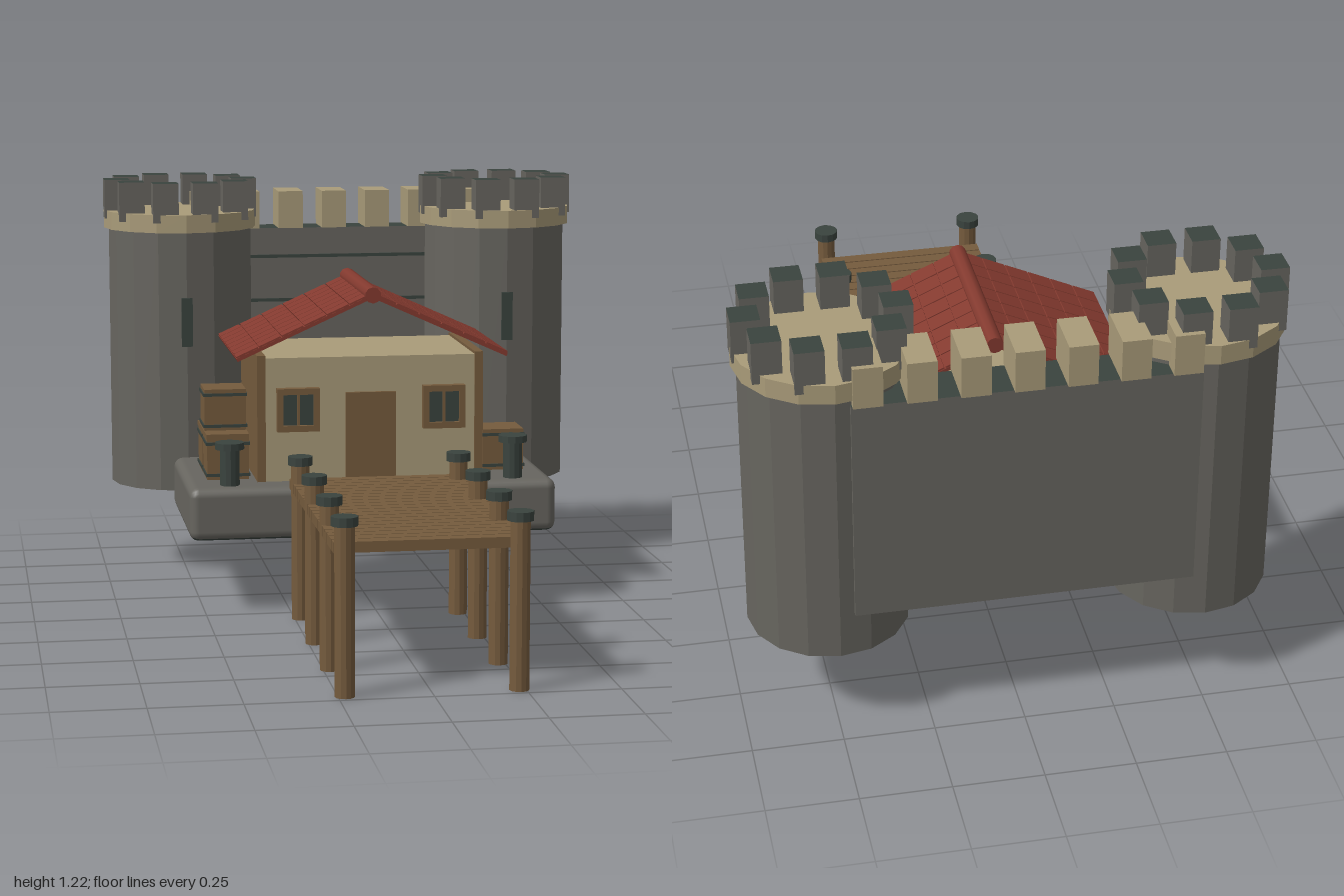
import * as THREE from 'three';
import { RoundedBoxGeometry } from 'three/addons/geometries/RoundedBoxGeometry.js';

function mat(name, color) {
  const m = new THREE.MeshStandardMaterial({ color });
  m.name = name;
  return m;
}

export function createModel() {
  const stone = mat('grey stone', 0x67655f);
  const sand = mat('sand stone', 0xa99b79);
  const wood = mat('brown wood', 0x755b3d);
  const tile = mat('red roof tile', 0x843a2f);
  const dark = mat('dark iron', 0x3a433e);
  const root = new THREE.Group();
  root.name = 'harbourCastle';

  const add = (name, geo, material, x, y, z, parent = root) => {
    const m = new THREE.Mesh(geo, material);
    m.name = name;
    m.position.set(x, y, z);
    parent.add(m);
    return m;
  };
  // Box given by its lower and upper limits
  const box = (name, material, x0, x1, y0, y1, z0, z1, parent = root) =>
    add(name, new THREE.BoxGeometry(x1 - x0, y1 - y0, z1 - z0), material,
      (x0 + x1) / 2, (y0 + y1) / 2, (z0 + z1) / 2, parent);
  // Upright faceted cylinder given by its lower and upper end
  const drum = (name, material, r, y0, y1, x, z, sides, parent = root) => {
    const g = new THREE.CylinderGeometry(r, r, y1 - y0, sides).toNonIndexed();
    g.computeVertexNormals();
    return add(name, g, material, x, (y0 + y1) / 2, z, parent);
  };
  const group = (name, parent = root) => {
    const g = new THREE.Group();
    g.name = name;
    parent.add(g);
    return g;
  };
  const cappedBox = [stone, stone, dark, dark, stone, stone];

  // Towers with collar, ring of merlons and arrow slit
  for (const s of [-1, 1]) {
    const tower = group(s > 0 ? 'leftTower' : 'rightTower');
    const cx = s * 0.5, cz = -0.763;
    drum('towerShaft', [stone, stone, dark], 0.222, 0.27, 1.075, cx, cz, 16, tower);
    drum('towerCollar', sand, 0.237, 1.07, 1.125, cx, cz, 16, tower);
    for (let i = 0; i < 10; i++) {
      const a = i * Math.PI / 5;
      const x = cx + 0.197 * Math.cos(a), z = cz + 0.192 * Math.sin(a);
      box('towerMerlon', cappedBox, x - 0.039, x + 0.039, 1.10, 1.22, z - 0.039, z + 0.039, tower);
    }
    box('arrowSlit', dark, cx - 0.017, cx + 0.017, 0.72, 0.87, cz + 0.215, cz + 0.229, tower);
  }

  // Curtain wall with course lines and merlons
  const wall = group('curtainWall');
  box('wallSlab', cappedBox, -0.46, 0.46, 0.40, 1.05, -0.99, -0.865, wall);
  for (const y of [0.54, 0.68, 0.82, 0.96])
    box('wallCourse', dark, -0.45, 0.45, y - 0.005, y + 0.005, -0.866, -0.859, wall);
  for (let i = -3; i <= 3; i++)
    box('wallMerlon', sand, i * 0.139 - 0.039, i * 0.139 + 0.039, 1.05, 1.167, -1, -0.855, wall);

  // Stone platform
  add('platform', new RoundedBoxGeometry(1.09, 0.158, 0.56, 2, 0.028),
    [stone, stone, stone, dark, stone, stone], 0, 0.296, -0.285);

  // House body, side walls, door and windows
  const house = group('house');
  box('houseBody', sand, -0.312, 0.312, 0.37, 0.742, -0.515, -0.095, house);
  for (const s of [-1, 1]) {
    const side = box('sideWall', wood, -0.0125, 0.0125, 0.37, 0.75, -0.52, -0.09, house);
    side.position.x = s * 0.3245;
    const win = group('window', house);
    win.position.set(s * 0.217, 0.59, -0.08);
    box('windowPane', dark, -0.05, 0.05, -0.052, 0.052, -0.015, 0.002, win);
    for (const t of [-1, 1]) {
      add('frameRail', new THREE.BoxGeometry(0.126, 0.018, 0.028), wood, 0, t * 0.055, 0, win);
      add('frameStile', new THREE.BoxGeometry(0.018, 0.1, 0.028), wood, t * 0.054, 0, 0, win);
    }
    add('mullion', new THREE.BoxGeometry(0.008, 0.1, 0.02), wood, 0, 0, 0, win);
  }
  box('door', wood, -0.075, 0.075, 0.375, 0.637, -0.1, -0.083, house);

  // Open-gabled roof: two sloping slabs laid with tiles, and a ridge pole
  const roof = group('roof');
  const run = 0.40, drop = 0.18, len = Math.hypot(run, drop);
  for (const s of [-1, 1]) {
    const slope = group('roofSlope', roof);
    slope.position.set(s * run / 2, 0.835, -0.305);
    slope.rotation.z = -s * Math.atan2(drop, run);
    add('roofSlab', new THREE.BoxGeometry(len, 0.01, 0.52), tile, 0, 0, 0, slope);
    const cols = 6, rows = 8, w = len / cols, d = 0.52 / rows;
    for (let i = 0; i < cols; i++)
      for (let j = 0; j < rows; j++)
        add('roofTile', new THREE.BoxGeometry(w - 0.004, 0.006, d - 0.004), tile,
          (i + 0.5) * w - len / 2, 0.007, (j + 0.5) * d - 0.26, slope);
  }
  add('ridgePole', new THREE.CylinderGeometry(0.024, 0.024, 0.524, 10), tile, 0, 0.928, -0.305)
    .rotation.x = Math.PI / 2;

  // Banded crates beside the house
  const crate = (x, y, z) => {
    const c = group('crate');
    c.position.set(x, y, z);
    add('crateBody', new THREE.BoxGeometry(0.124, 0.124, 0.124), wood, 0, 0.062, 0, c);
    for (const h of [0.014, 0.108])
      add('crateBand', new THREE.BoxGeometry(0.131, 0.009, 0.131), dark, 0, h, 0, c);
  };
  crate(0.418, 0.375, -0.245);
  crate(-0.418, 0.375, -0.208);
  crate(-0.418, 0.375, -0.355);
  crate(-0.418, 0.51, -0.28);
  box('crateBoard', wood, -0.482, -0.355, 0.497, 0.511, -0.42, -0.146);

  // Mooring bollards on the platform
  for (const s of [-1, 1]) {
    const b = group('bollard');
    drum('bollardPost', dark, 0.029, 0.37, 0.485, s * 0.422, -0.062, 12, b);
    drum('bollardCap', dark, 0.043, 0.482, 0.502, s * 0.422, -0.062, 12, b);
  }

  // Dock: planks on four pairs of capped posts
  const dock = group('dock');
  const planks = 21, pitch = 0.915 / planks;
  for (let i = 0; i < planks; i++) {
    const z = 0.012 + i * pitch;
    box('plank', wood, -0.255, 0.255, 0.373, 0.402, z, z + pitch - 0.005, dock);
  }
  for (const s of [-1, 1])
    for (const z of [0.08, 0.38, 0.68, 0.964]) {
      drum('dockPost', wood, 0.027, 0, 0.458, s * 0.232, z, 12, dock);
      drum('dockPostCap', dark, 0.036, 0.455, 0.48, s * 0.232, z, 12, dock);
    }
  return root;
}
